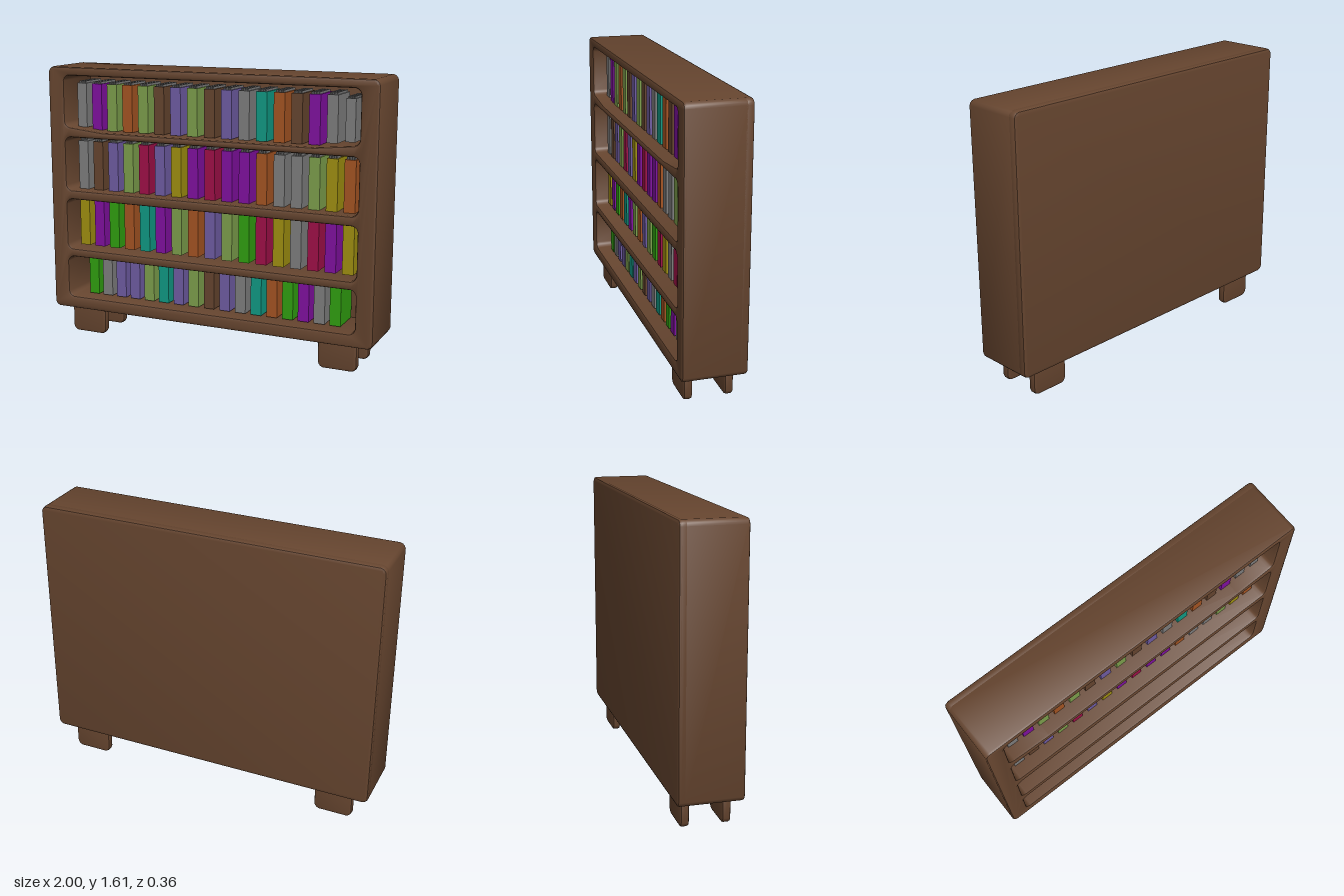
import * as THREE from 'three';
import { mergeGeometries, toCreasedNormals } from 'three/addons/utils/BufferGeometryUtils.js';

const colours = {
  brown: 0x66452f, gray: 0x7e7e7e, purple: 0x8010a0, olive: 0x7d9f4c, orange: 0xa55422,
  lavender: 0x6f5ca3, teal: 0x109a84, crimson: 0xa00f48, yellow: 0xa09010, green: 0x30a010,
};
const key = {
  n: 'brown', g: 'gray', p: 'purple', o: 'olive', r: 'orange',
  l: 'lavender', t: 'teal', c: 'crimson', y: 'yellow', e: 'green',
};

// Rectangle with cut corners; sag lowers the middle of the bottom edge
function cutRect(Kind, x0, y0, x1, y1, c, sag = 0) {
  const p = new Kind();
  p.moveTo(x0 + c, y0);
  if (sag) {
    p.lineTo(x0 + 0.25, y0 - sag);
    p.lineTo(x1 - 0.25, y0 - sag);
  }
  p.lineTo(x1 - c, y0);
  p.quadraticCurveTo(x1 - c * 0.2, y0 + c * 0.2, x1, y0 + c);
  p.lineTo(x1, y1 - c);
  p.quadraticCurveTo(x1 - c * 0.2, y1 - c * 0.2, x1 - c, y1);
  p.lineTo(x0 + c, y1);
  p.quadraticCurveTo(x0 + c * 0.2, y1 - c * 0.2, x0, y1 - c);
  p.lineTo(x0, y0 + c);
  p.quadraticCurveTo(x0 + c * 0.2, y0 + c * 0.2, x0 + c, y0);
  return p;
}

// Extrusion between two z planes with softened edges
function slab(shape, z0, z1, b) {
  const g = new THREE.ExtrudeGeometry(shape, {
    depth: z1 - z0 - 2 * b, bevelEnabled: true, bevelThickness: b,
    bevelSize: b, bevelOffset: -b, bevelSegments: 2, curveSegments: 3,
  });
  g.translate(0, 0, z0 + b);
  return toCreasedNormals(g, 0.7);
}

function box(w, h, d, x, y, z) {
  return new THREE.BoxGeometry(w, h, d).translate(x, y, z);
}

// Cover: spine at the front and two boards, open at the back
function coverGeometry(w, h, d) {
  const t = 0.008;
  return mergeGeometries([
    box(w, h, t, 0, h / 2, d / 2 - t / 2),
    box(t, h, d - t, -w / 2 + t / 2, h / 2, -t / 2),
    box(t, h, d - t, w / 2 - t / 2, h / 2, -t / 2),
  ]);
}

// Pages: a block just under the cover top with thin leaves standing above it
function pagesGeometry(w, h, d) {
  const parts = [box(w - 0.016, h - 0.012, d - 0.016, 0, h / 2 - 0.002, -0.001)];
  for (let i = 0; i < 4; i++) {
    parts.push(box(0.006, 0.026, d - 0.02, (i - 1.5) * 0.0135, h - 0.001, 0));
  }
  return mergeGeometries(parts);
}

export function createModel() {
  const group = new THREE.Group();
  const mats = {};
  for (const [name, color] of Object.entries(colours)) {
    mats[name] = new THREE.MeshStandardMaterial({ color });
    mats[name].name = name;
  }
  const add = (parent, geometry, material, name) => {
    const m = new THREE.Mesh(geometry, material);
    m.name = name;
    parent.add(m);
    return m;
  };

  // Cabinet frame with four openings, closed by a back panel
  const outline = () => cutRect(THREE.Shape, -1, 0.155, 1, 1.605, 0.03);
  const openings = [
    [1.255, 1.555, 0.022], [0.88, 1.195, 0], [0.525, 0.825, 0], [0.23, 0.475, 0],
  ];
  const front = outline();
  for (const [y0, y1, sag] of openings) {
    front.holes.push(cutRect(THREE.Path, -0.895, y0, 0.895, y1, 0.03, sag));
  }
  add(group, slab(front, -0.155, 0.178, 0.015), mats.brown, 'cabinetFrame');
  add(group, slab(outline(), -0.178, -0.12, 0.015), mats.brown, 'backPanel');

  // Four thin feet
  const footGeometry = slab(cutRect(THREE.Shape, -0.113, 0, 0.113, 0.2, 0.03), -0.023, 0.023, 0.012);
  for (const x of [-0.787, 0.787]) {
    for (const z of [-0.112, 0.112]) {
      add(group, footGeometry, mats.brown, 'foot').position.set(x, 0, z);
    }
  }

  // Rows of books: bottom, top, first and last centre, colour letters
  const rows = [
    [1.235, 1.507, -0.82, 0.82, 'gporonlonlgtrnpgg'],
    [0.88, 1.168, -0.82, 0.825, 'gnloclypcpprggoyr'],
    [0.538, 0.815, -0.82, 0.825, 'ypertporloecygcpy'.replace(' ', '')],
    [0.24, 0.462, -0.765, 0.76, 'egllotlonlgtrepge'],
  ];
  const w = 0.064, d = 0.19;
  rows.forEach(([y0, y1, x0, x1, letters], r) => {
    const row = new THREE.Group();
    row.name = 'bookRow' + (r + 1);
    group.add(row);
    const cover = coverGeometry(w, y1 - y0, d);
    const pages = pagesGeometry(w, y1 - y0, d);
    [...letters].forEach((letter, i) => {
      const book = new THREE.Group();
      book.name = 'book';
      const u = i / (letters.length - 1);
      book.position.set(x0 + (x1 - x0) * u + 0.012 * Math.sin(u * Math.PI * 2) * -0.6, y0, 0.005);
      add(book, cover, mats[key[letter]], 'cover');
      add(book, pages, mats.gray, 'pages');
      // The outermost books of the top row sit smaller on the raised shelf ends
      if (r === 0 && (i === 0 || i >= 15)) {
        const s = i === 16 ? 0.85 : 0.95;
        book.scale.set(s, s, 1);
        book.position.y = i === 16 ? 1.262 : 1.25;
      }
      row.add(book);
    });
  });
  return group;
}
